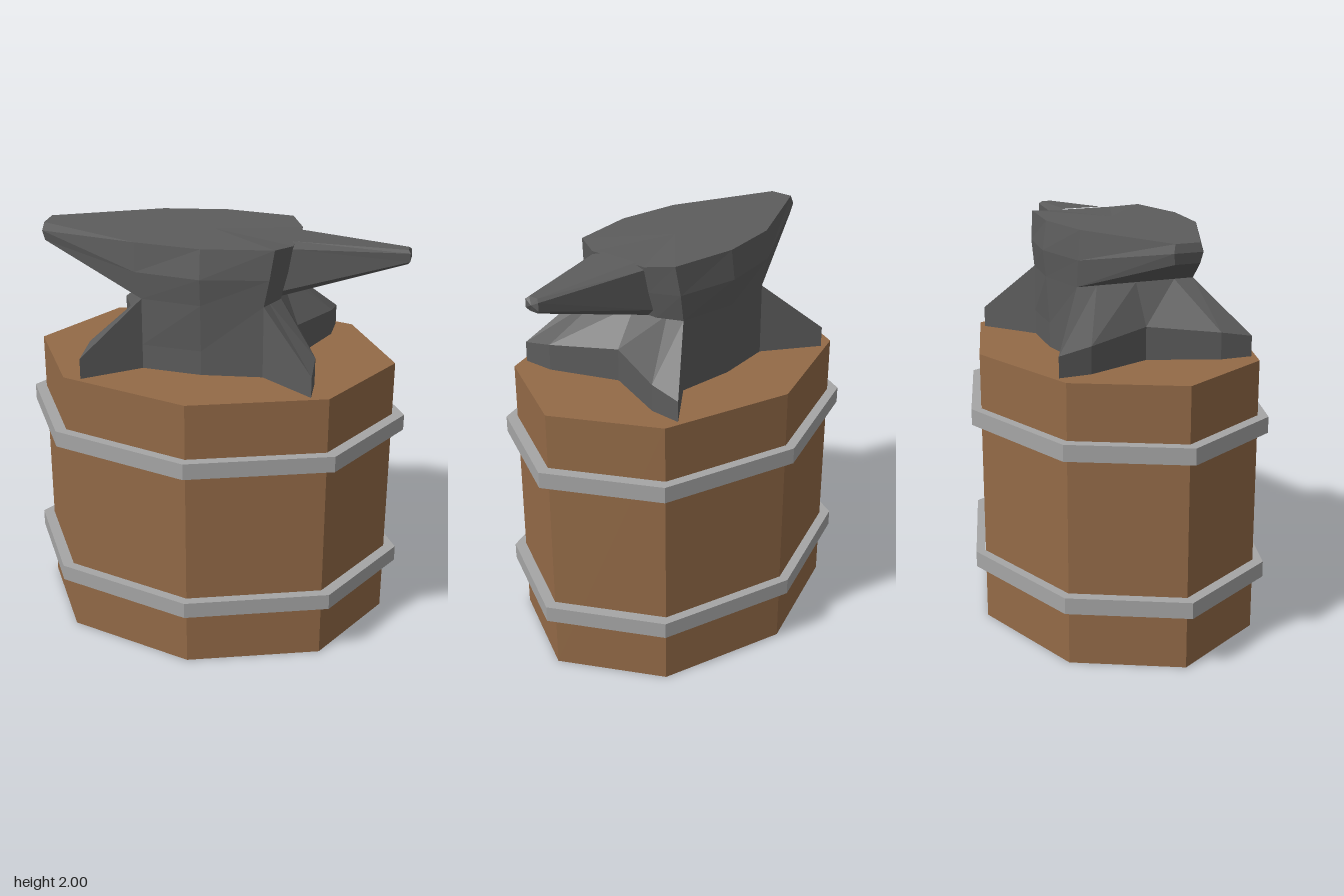
import * as THREE from 'three';

const material = (color, side = THREE.FrontSide) =>
  new THREE.MeshStandardMaterial({ color, flatShading: true, side });

// Completes a half outline (z >= 0) with its mirror image in z.
function mirrorLoop(half) {
  const other = half.filter((p) => p[2] > 0).reverse().map(([x, y, z]) => [x, y, -z]);
  return [...half, ...other];
}

// Skins a stack of equal-length loops; each end may close on a centre point.
function loft(halves, startCentre, endCentre) {
  const loops = halves.map(mirrorLoop);
  const n = loops[0].length;
  const out = [];
  const tri = (...corners) => corners.forEach((p) => out.push(...p));
  for (let i = 0; i < n; i++) {
    const j = (i + 1) % n;
    for (let k = 0; k + 1 < loops.length; k++) {
      const a = loops[k], b = loops[k + 1];
      tri(a[i], a[j], b[j]);
      tri(a[i], b[j], b[i]);
    }
    const first = loops[0], last = loops[loops.length - 1];
    if (startCentre) tri(startCentre, first[j], first[i]);
    if (endCentre) tri(endCentre, last[i], last[j]);
  }
  const geometry = new THREE.BufferGeometry();
  geometry.setAttribute('position', new THREE.Float32BufferAttribute(out, 3));
  geometry.computeVertexNormals();
  return geometry;
}

export function createModel() {
  const model = new THREE.Group();
  const wood = material(0x936a47, THREE.DoubleSide);
  const iron = material(0x5c5c5c);
  const steel = material(0xa5a5a5);
  const add = (name, geometry, mat, parent = model) => {
    const mesh = new THREE.Mesh(geometry, mat);
    mesh.name = name;
    parent.add(mesh);
    return mesh;
  };

  // Oval eight-sided barrel, open underneath
  const barrel = new THREE.Group();
  barrel.name = 'barrel';
  model.add(barrel);
  add('barrelWall', new THREE.CylinderGeometry(1, 1, 1.38, 8, 1, true)
    .scale(0.89, 1, 0.69).translate(0, 0.69, 0), wood, barrel);
  add('barrelTop', new THREE.CircleGeometry(1, 8).rotateX(-Math.PI / 2)
    .scale(0.89, 1, 0.69).translate(0, 1.38, 0), wood, barrel);

  // Metal hoops
  const hoopProfile = [[0.935, 0], [1, 0], [1, 0.08], [0.935, 0.08]]
    .map(([r, y]) => new THREE.Vector2(r, y));
  for (const [name, y] of [['lowerHoop', 0.28], ['upperHoop', 1.03]]) {
    add(name, new THREE.LatheGeometry(hoopProfile, 8).scale(0.95, 1, 0.74), steel, barrel)
      .position.y = y;
  }

  const anvil = new THREE.Group();
  anvil.name = 'anvil';
  model.add(anvil);

  // Waist with four splayed feet: floor, foot edge, underside of body
  const floor = [[-0.41, 0], [-0.54, 0.33], [-0.545, 0.49], [-0.29, 0.3], [0, 0.33],
    [0.29, 0.3], [0.545, 0.49], [0.54, 0.33], [0.41, 0]];
  const neck = [[-0.29, 0], [-0.29, 0.2], [-0.29, 0.3], [-0.29, 0.3], [0, 0.345],
    [0.29, 0.3], [0.29, 0.3], [0.29, 0.2], [0.29, 0]];
  const footTop = [1.54, 1.51, 1.48, 1.5, 1.5, 1.5, 1.48, 1.51, 1.54];
  add('waistAndFeet', loft([
    floor.map(([x, z]) => [x, 1.38, z]),
    floor.map(([x, z], i) => [x, footTop[i], z]),
    neck.map(([x, z]) => [x, 1.73, z]),
  ], [0, 1.38, 0]), iron, anvil);

  // Body with tapering heel: underside, bulge, flat working face
  add('body', loft([
    [[-0.83, 1.91, 0.06], [-0.29, 1.73, 0.3], [0, 1.73, 0.345], [0.29, 1.73, 0.3], [0.35, 1.735, 0.19]],
    [[-0.84, 1.96, 0.07], [-0.32, 1.86, 0.305], [0, 1.86, 0.36], [0.315, 1.86, 0.305], [0.38, 1.86, 0.17]],
    [[-0.83, 2, 0.06], [-0.32, 2, 0.295], [0, 2, 0.34], [0.335, 2, 0.29], [0.4, 1.985, 0.16]],
  ], [-0.29, 1.73, 0], [0, 2, 0]), iron, anvil);

  // Horn tapering to a blunt tip
  add('horn', loft([
    [[0.39, 1.99, 0.1], [0.395, 1.97, 0.16], [0.35, 1.77, 0.18], [0.35, 1.735, 0.14]],
    [[0.92, 1.958, 0.025], [0.93, 1.945, 0.04], [0.93, 1.905, 0.04], [0.92, 1.89, 0.025]],
  ], null, [0.935, 1.925, 0]), iron, anvil);

  return model;
}
